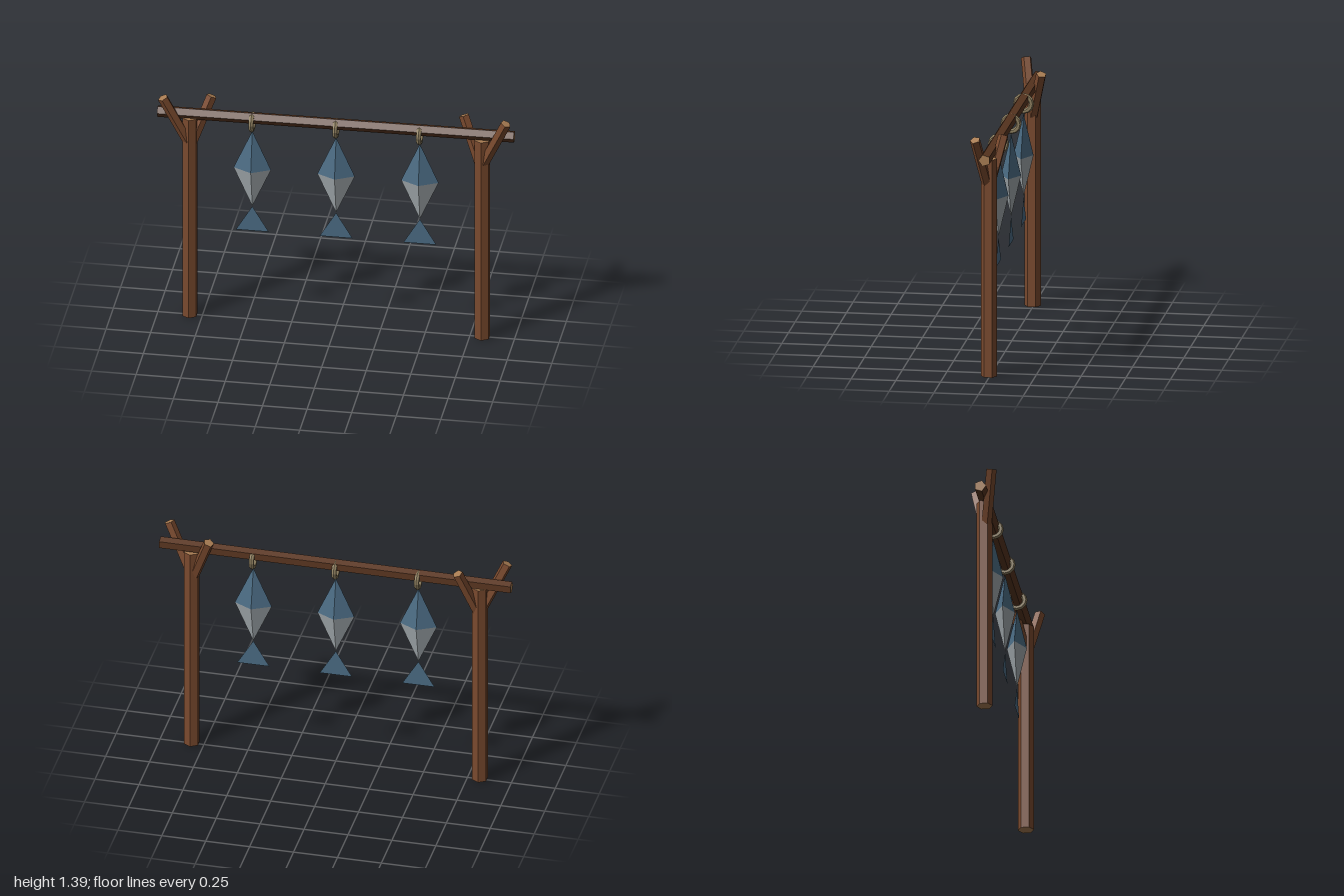
import * as THREE from 'three';

const mat = (color, extra = {}) => new THREE.MeshStandardMaterial({ color, flatShading: true, ...extra });

export function createModel() {
  const root = new THREE.Group();
  root.name = 'fishDryingRack';

  const bark = mat(0x7a4a2e);
  const darkBark = mat(0x5a3620);
  const cutWood = mat(0xa87c52);
  const rope = mat(0x8f8060);
  const backBlue = mat(0x4a6a82);
  const bellyGrey = mat(0xa4acb0);
  const tailBlue = mat(0x4a6a82, { side: THREE.DoubleSide });

  // A log running between two points, with pale cut ends
  function log(name, from, to, radius, sides, material) {
    const a = new THREE.Vector3(...from);
    const b = new THREE.Vector3(...to);
    const dir = b.clone().sub(a);
    const geo = new THREE.CylinderGeometry(radius, radius, dir.length(), sides);
    const mesh = new THREE.Mesh(geo, [material, cutWood, cutWood]);
    mesh.name = name;
    mesh.position.copy(a).add(b).multiplyScalar(0.5);
    mesh.quaternion.setFromUnitVectors(new THREE.Vector3(0, 1, 0), dir.normalize());
    return mesh;
  }

  // Forked posts, mirrored left and right
  for (const [side, s] of [['left', 1], ['right', -1]]) {
    const post = new THREE.Group();
    post.name = side + 'Post';
    post.add(
      log('upright', [s * 0.82, 0, 0.005], [s * 0.82, 1.24, 0.005], 0.045, 6, bark),
      log('frontProng', [s * 0.822, 1.08, 0.012], [s * 0.962, 1.378, 0.062], 0.03, 5, bark),
      log('backProng', [s * 0.805, 1.09, 0], [s * 0.708, 1.348, -0.06], 0.03, 5, bark)
    );
    root.add(post);
  }

  // Crossbar resting in the forks
  root.add(log('crossbar', [-1, 1.262, 0.004], [1, 1.272, 0.004], 0.034, 5, darkBark));

  // Hanging fish: rope ring, two-tone diamond body and flat tail
  function makeFish(x) {
    const fish = new THREE.Group();
    fish.name = 'fish';
    fish.position.set(x, 0, 0.004);

    const ring = new THREE.Mesh(new THREE.TorusGeometry(0.044, 0.015, 6, 12), rope);
    ring.name = 'ropeRing';
    ring.rotation.y = Math.PI / 2;
    ring.position.y = 1.238;

    const half = new THREE.ConeGeometry(0.105, 0.235, 4, 1, true);
    const upper = new THREE.Mesh(half, backBlue);
    upper.name = 'upperBody';
    upper.scale.z = 0.53;
    upper.position.y = 1.0625;
    const lower = new THREE.Mesh(half, bellyGrey);
    lower.name = 'lowerBody';
    lower.scale.z = 0.53;
    lower.rotation.x = Math.PI;
    lower.position.y = 0.8275;

    const outline = new THREE.Shape([
      new THREE.Vector2(0, 0.708),
      new THREE.Vector2(-0.092, 0.556),
      new THREE.Vector2(0.092, 0.556),
    ]);
    const tail = new THREE.Mesh(new THREE.ShapeGeometry(outline), tailBlue);
    tail.name = 'tail';

    fish.add(ring, upper, lower, tail);
    return fish;
  }
  for (const x of [-0.47, 0, 0.47]) root.add(makeFish(x));

  return root;
}
